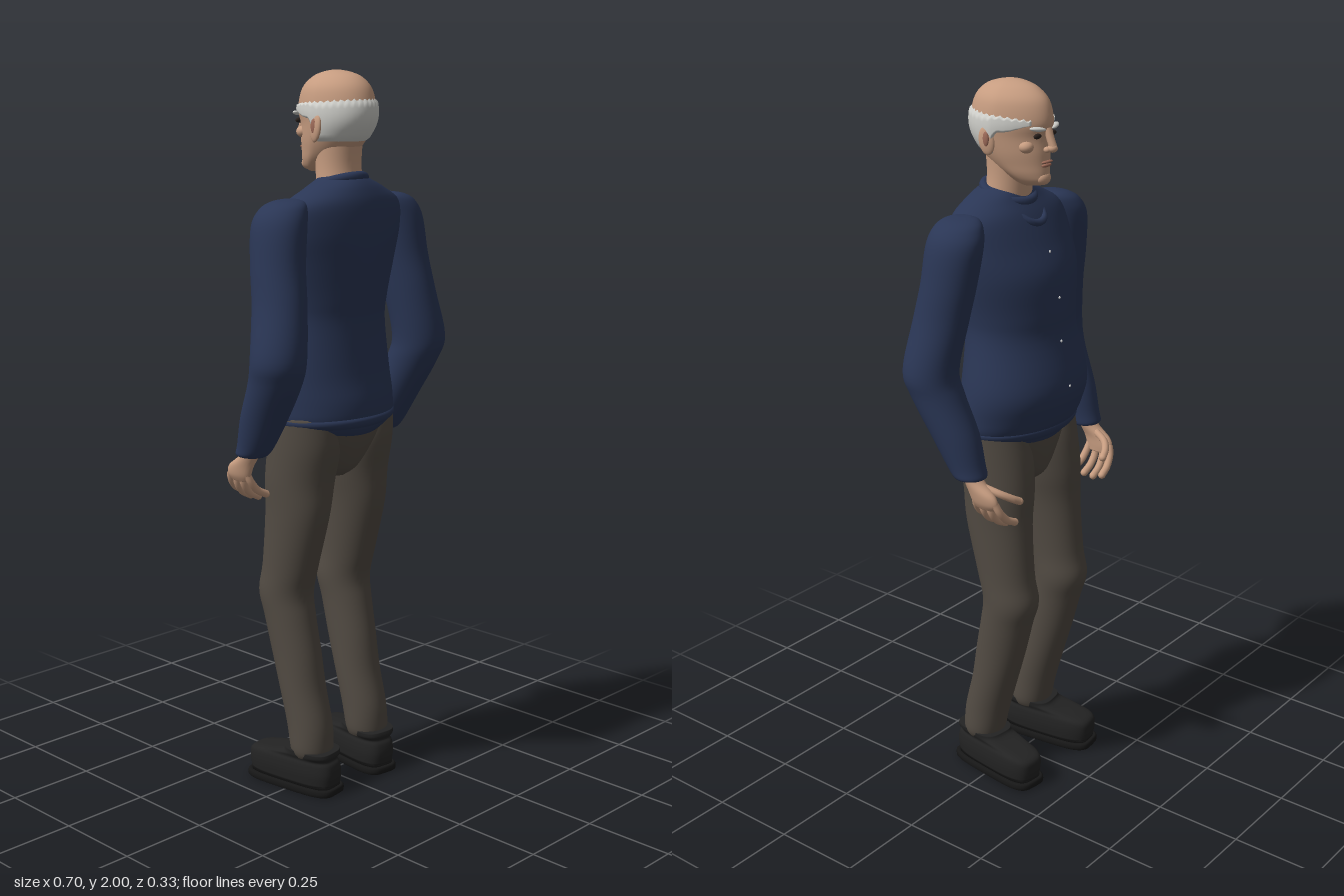
import * as THREE from 'three';

const mat = (name, color, extra = {}) => {
  const m = new THREE.MeshStandardMaterial({ color, ...extra });
  m.name = name;
  return m;
};

// Catmull-Rom through rows of numbers, k steps per span
function smooth(rows, k = 5) {
  const out = [], n = rows.length;
  const cr = (a, b, c, d, t) => 0.5 * (2 * b + (c - a) * t + (2 * a - 5 * b + 4 * c - d) * t * t + (3 * b - a - 3 * c + d) * t * t * t);
  for (let i = 0; i < n - 1; i++) for (let s = 0; s < k; s++) {
    const [a, b, c, d] = [rows[Math.max(i - 1, 0)], rows[i], rows[i + 1], rows[Math.min(i + 2, n - 1)]];
    out.push(b.map((_, j) => cr(a[j], b[j], c[j], d[j], s / k)));
  }
  out.push(rows[n - 1]);
  return out;
}

const spow = (v, e) => Math.sign(v) * Math.abs(v) ** e;
// Point on a cross-section [y, x, z, rx, rz]; taper narrows it towards the front (-z)
function ringPoint([, cx, cz, rx, rz], t, e = 1, taper = 0) {
  const c = spow(Math.cos(t), e), s = spow(Math.sin(t), e);
  return [cx + rx * c * (1 - taper * Math.max(0, -s)), cz + rz * s];
}

// Closed skin over horizontal cross-sections, listed from low to high
function loft(sections, { e = 1, taper = 0, n = 40, k = 5, side = 1 } = {}) {
  const rows = smooth(sections, k), pos = [], idx = [];
  rows.forEach(r => {
    const row = [r[0], r[1] * side, ...r.slice(2)];
    for (let j = 0; j < n; j++) {
      const [x, z] = ringPoint(row, j / n * Math.PI * 2, e, taper);
      pos.push(x, r[0], z);
    }
  });
  const m = rows.length, top = rows[m - 1], low = rows[0];
  pos.push(low[1] * side, low[0], low[2], top[1] * side, top[0], top[2]);
  for (let j = 0; j < n; j++) {
    const q = (j + 1) % n;
    for (let i = 0; i < m - 1; i++) {
      const a = i * n + j, b = i * n + q;
      idx.push(a, a + n, b, b, a + n, b + n);
    }
    idx.push(m * n, j, q, m * n + 1, (m - 1) * n + q, (m - 1) * n + j);
  }
  return finish(pos, idx);
}

function finish(pos, idx) {
  const g = new THREE.BufferGeometry();
  g.setAttribute('position', new THREE.Float32BufferAttribute(pos, 3));
  g.setIndex(idx);
  g.computeVertexNormals();
  return g;
}

const TORSO = [
  [1.0, 0, 0.02, 0.05, 0.07], [1.03, 0, 0.02, 0.13, 0.115], [1.065, 0, 0.017, 0.19, 0.137], [1.12, 0, 0.003, 0.2, 0.152],
  [1.2, 0, -0.012, 0.2, 0.153], [1.33, 0, 0, 0.177, 0.133], [1.4, 0, 0.005, 0.18, 0.135], [1.5, 0, 0.015, 0.2, 0.135],
  [1.58, 0, 0.035, 0.21, 0.12], [1.65, 0, 0.05, 0.2, 0.1], [1.69, 0, 0.057, 0.135, 0.08], [1.715, 0, 0.055, 0.08, 0.065], [1.725, 0, 0.05, 0.06, 0.055]];
const HEAD = [
  [1.733, 0, -0.035, 0.025, 0.03], [1.745, 0, -0.03, 0.042, 0.053], [1.765, 0, -0.015, 0.058, 0.07], [1.79, 0, 0.003, 0.07, 0.087],
  [1.82, 0, 0.016, 0.08, 0.1], [1.86, 0, 0.03, 0.088, 0.113], [1.9, 0, 0.028, 0.09, 0.122], [1.95, 0, 0.028, 0.081, 0.109],
  [1.98, 0, 0.03, 0.058, 0.08], [1.994, 0, 0.03, 0.033, 0.045], [2.0, 0, 0.03, 0.008, 0.01]];
const ARM = [
  [0.985, 0.26, -0.03, 0.036, 0.036], [0.992, 0.26, -0.03, 0.046, 0.046], [1.02, 0.26, -0.015, 0.05, 0.054], [1.1, 0.262, 0.02, 0.062, 0.068],
  [1.2, 0.27, 0.07, 0.07, 0.075], [1.27, 0.275, 0.088, 0.074, 0.076], [1.4, 0.253, 0.07, 0.068, 0.078], [1.5, 0.24, 0.052, 0.068, 0.078],
  [1.6, 0.226, 0.042, 0.068, 0.08], [1.645, 0.21, 0.042, 0.06, 0.068], [1.665, 0.195, 0.044, 0.042, 0.048], [1.672, 0.185, 0.045, 0.015, 0.02]];
const LEG = [
  [0.105, 0.113, 0.046, 0.055, 0.055], [0.13, 0.113, 0.046, 0.063, 0.06], [0.2, 0.112, 0.035, 0.063, 0.066], [0.3, 0.112, 0.008, 0.064, 0.068],
  [0.4, 0.113, -0.015, 0.065, 0.075], [0.5, 0.115, -0.038, 0.068, 0.078], [0.57, 0.115, -0.052, 0.072, 0.083], [0.65, 0.115, -0.035, 0.071, 0.086],
  [0.8, 0.112, -0.01, 0.078, 0.1], [0.9, 0.107, -0.005, 0.088, 0.105], [1.0, 0.104, 0.01, 0.093, 0.108], [1.085, 0.112, 0.018, 0.084, 0.095]];
const SHOE = [
  [0.028, 0, 0, 0.055, 0.142], [0.06, 0, 0, 0.058, 0.146], [0.088, 0, 0, 0.056, 0.141],
  [0.1, 0, 0.015, 0.052, 0.118], [0.112, 0, 0.055, 0.056, 0.083], [0.125, 0, 0.061, 0.058, 0.074]];

// Interpolated cross-section of a profile at height y
function sectionAt(sections, y) {
  const rows = smooth(sections, 8);
  const i = Math.max(1, rows.findIndex(r => r[0] >= y)), a = rows[i - 1], b = rows[i];
  const t = (y - a[0]) / (b[0] - a[0]);
  return a.map((v, j) => v + (b[j] - v) * t);
}

// Fringe of hair wrapped round the back of the skull, thinning to the temples
function hairGeometry() {
  const n = 96, m = 10, pos = [], idx = [];
  for (let i = 0; i <= n; i++) {
    const u = i / n * 2 - 1, a = Math.abs(u) * 2.5;
    const top = 1.928 - 0.022 * (a / 2.5) ** 2 + 0.003 * Math.sin(i * 1.9);
    const low = 1.812 + 0.062 * THREE.MathUtils.smoothstep(a, 1.35, 1.75) + 0.02 * THREE.MathUtils.smoothstep(a, 1.8, 2.5);
    for (let j = 0; j <= m; j++) {
      const y = low + (top - low) * j / m, r = sectionAt(HEAD, y);
      const puff = j % m === 0 || i % n === 0 ? -0.003 : 0.006;
      r[3] += puff; r[4] += puff;
      const [x, z] = ringPoint(r, Math.PI / 2 + u * 2.5, 1, 0.22);
      pos.push(x, y, z);
      if (i < n && j < m) {
        const p = i * (m + 1) + j, q = p + m + 1;
        idx.push(p, p + 1, q, q, p + 1, q + 1);
      }
    }
  }
  return finish(pos, idx);
}

export function createModel() {
  const skin = mat('skin', 0xc69c80), hair = mat('white hair', 0xcfcfca, { side: THREE.DoubleSide });
  const sweater = mat('navy sweater', 0x2a3655), trousers = mat('brown grey trousers', 0x524b43);
  const leather = mat('black leather', 0x232323), soleMat = mat('black sole', 0x171717);
  const dark = mat('dark eye', 0x2a211d), lip = mat('lip', 0x9c6a58), button = mat('button', 0xd8d8d8);

  const root = new THREE.Group();
  root.name = 'standingMan';
  const add = (name, geo, m, parent = root) => {
    const o = new THREE.Mesh(geo, m);
    o.name = name;
    parent.add(o);
    return o;
  };
  const ball = (name, m, p, s, parent = root) => {
    const o = add(name, new THREE.SphereGeometry(1, 20, 14), m, parent);
    o.position.set(...p);
    o.scale.set(...s);
    return o;
  };
  const tube = (name, pts, r, m, parent = root) => add(name,
    new THREE.TubeGeometry(new THREE.CatmullRomCurve3(pts.map(p => new THREE.Vector3(...p))), 16, r, 10), m, parent);

  // Sweater body, collar and hem
  add('sweaterBody', loft(TORSO, { n: 56 }), sweater);
  const collar = add('collar', new THREE.TorusGeometry(0.067, 0.013, 10, 40), sweater);
  collar.position.set(0, 1.705, 0.043);
  collar.rotation.x = Math.PI / 2 - 0.3;
  tube('collarFold', [[-0.055, 1.665, -0.02], [-0.03, 1.64, -0.052], [0, 1.633, -0.06], [0.03, 1.64, -0.052], [0.055, 1.665, -0.02]], 0.01, sweater);
  add('hemBand', loft([[1.045, 0, 0.018, 0.15, 0.122], [1.06, 0, 0.017, 0.19, 0.141], [1.075, 0, 0.015, 0.198, 0.146], [1.085, 0, 0.012, 0.19, 0.14]], { n: 56 }), sweater);
  for (const y of [1.2, 1.32, 1.44, 1.56]) {
    const r = sectionAt(TORSO, y);
    ball('button', button, [0, y, r[2] - r[4]], [0.004, 0.004, 0.003]);
  }

  // Seat of the trousers
  add('trouserSeat', loft([[0.9, 0, 0.005, 0.03, 0.05], [0.93, 0, 0.008, 0.07, 0.085], [1.0, 0, 0.015, 0.13, 0.11], [1.06, 0, 0.018, 0.17, 0.12]]), trousers);

  // Head and neck
  const head = new THREE.Group();
  head.name = 'head';
  root.add(head);
  add('skull', loft(HEAD, { taper: 0.22, n: 48 }), skin, head);
  add('neck', loft([[1.68, 0, 0.045, 0.068, 0.062], [1.75, 0, 0.038, 0.063, 0.06], [1.83, 0, 0.038, 0.066, 0.066]]), skin, head);
  add('hairFringe', hairGeometry(), hair, head);
  tube('noseBridge', [[0, 1.885, -0.086], [0, 1.86, -0.094], [0, 1.838, -0.103]], 0.011, skin, head);
  ball('noseTip', skin, [0, 1.834, -0.101], [0.014, 0.011, 0.014], head);
  ball('chin', skin, [0, 1.753, -0.073], [0.024, 0.018, 0.016], head);
  ball('upperLip', lip, [0, 1.797, -0.084], [0.023, 0.004, 0.007], head);
  ball('lowerLip', lip, [0, 1.788, -0.082], [0.02, 0.005, 0.007], head);
  for (const s of [1, -1]) {
    ball('nostril', skin, [s * 0.011, 1.831, -0.092], [0.009, 0.008, 0.01], head);
    ball('cheekbone', skin, [s * 0.044, 1.838, -0.05], [0.02, 0.016, 0.02], head);
    ball('eye', dark, [s * 0.032, 1.867, -0.077], [0.014, 0.007, 0.007], head);
    const brow = ball('eyebrow', hair, [s * 0.036, 1.886, -0.081], [0.024, 0.006, 0.01], head);
    brow.rotation.set(0, -s * 0.4, s * 0.12);
    const ear = ball('ear', skin, [s * 0.091, 1.85, 0.043], [0.009, 0.037, 0.022], head);
    ear.rotation.set(0.2, s * 0.25, 0);
    ball('earHollow', lip, [s * 0.097, 1.855, 0.041], [0.005, 0.02, 0.01], head);
  }

  // Limbs, mirrored
  for (const s of [1, -1]) {
    const label = s > 0 ? 'positiveX' : 'negativeX';
    add(label + 'Sleeve', loft(ARM, { side: s }), sweater);
    add(label + 'TrouserLeg', loft(LEG, { side: s }), trousers);

    const hand = new THREE.Group();
    hand.name = label + 'Hand';
    root.add(hand);
    const P = pts => pts.map(([x, y, z]) => [s * x, y, z]);
    add('palm', loft([[0.908, 0.258, -0.082, 0.012, 0.034], [0.925, 0.262, -0.082, 0.017, 0.043],
      [0.95, 0.264, -0.072, 0.02, 0.043], [0.98, 0.262, -0.045, 0.024, 0.03], [1.01, 0.26, -0.03, 0.026, 0.027]], { side: s, n: 24 }), skin, hand);
    const fingers = [0, 1, 2, 3].map(i => {
      const z = -0.116 + i * 0.022, drop = [0.01, 0, 0.002, 0.014][i];
      return [[0.263, 0.93, z], [0.254, 0.895 + drop, z - 0.008 + i * 0.004], [0.232, 0.868 + drop, z - 0.014 + i * 0.007], [0.202, 0.852 + drop, z - 0.018 + i * 0.009]];
    });
    fingers.push([[0.255, 0.965, -0.075], [0.238, 0.95, -0.115], [0.215, 0.935, -0.135], [0.192, 0.922, -0.143]]);
    fingers.forEach((f, i) => {
      tube(i < 4 ? 'finger' : 'thumb', P(f), 0.0105, skin, hand);
      ball('fingertip', skin, P(f)[3], [0.0105, 0.0105, 0.0105], hand);
    });

    // Shoe with a two-layer sole, toes turned out
    const shoe = new THREE.Group();
    shoe.name = label + 'Shoe';
    shoe.position.set(s * 0.122, 0, -0.012);
    shoe.rotation.y = -s * 0.13;
    root.add(shoe);
    add('upper', loft(SHOE, { e: 0.6, k: 4 }), leather, shoe);
    add('sole', loft([[0, 0, 0, 0.054, 0.143], [0.004, 0, 0, 0.06, 0.15], [0.018, 0, 0, 0.06, 0.15], [0.022, 0, 0, 0.055, 0.145]], { e: 0.5, k: 2 }), soleMat, shoe);
    add('welt', loft([[0.02, 0, 0, 0.052, 0.14], [0.034, 0, 0, 0.052, 0.14]], { e: 0.5, k: 1 }), soleMat, shoe);
  }
  return root;
}
